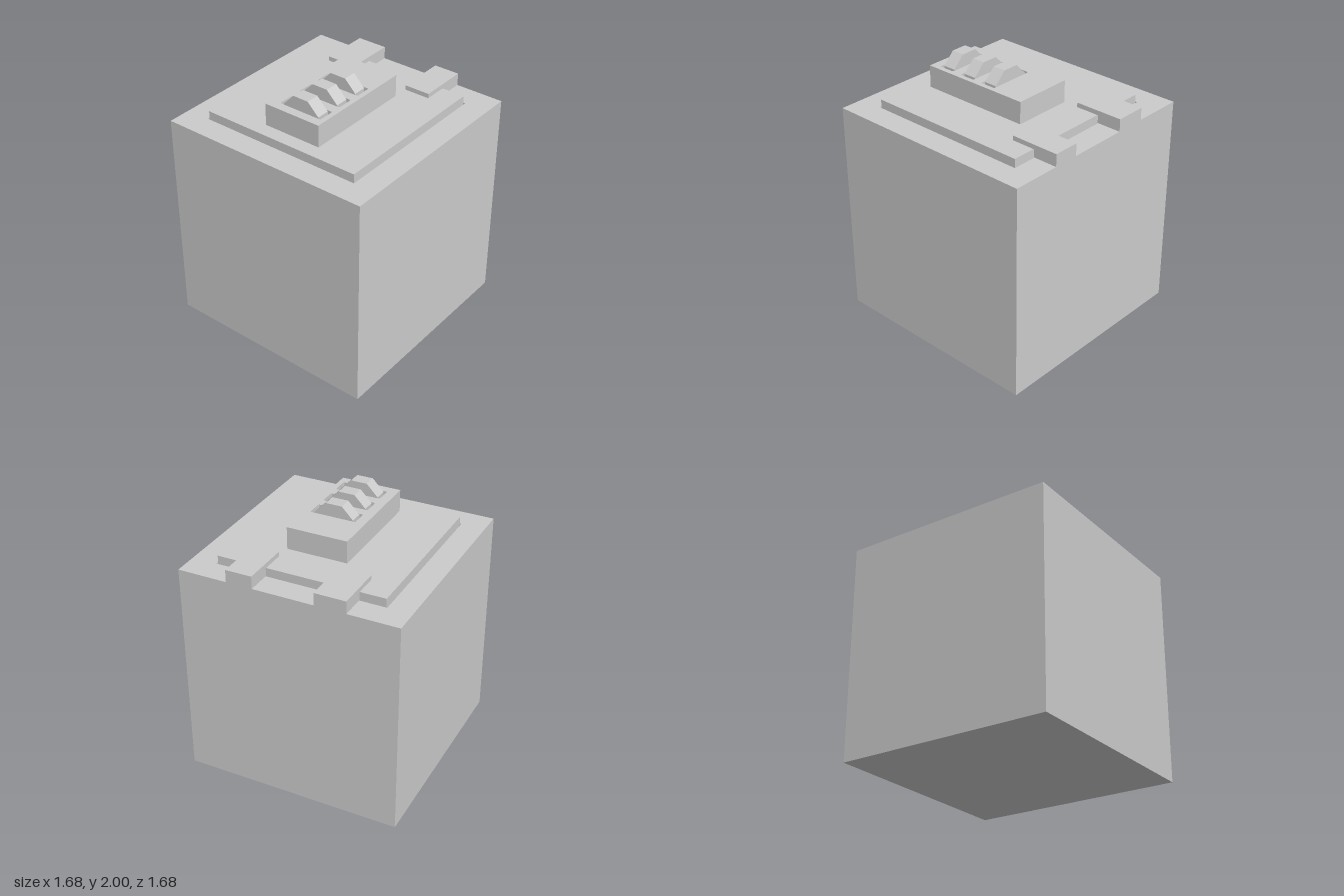
import * as THREE from 'three';

const material = new THREE.MeshStandardMaterial({ color: 0xcccccc, flatShading: true });

function addMesh(parent, name, geometry) {
  const mesh = new THREE.Mesh(geometry, material);
  mesh.name = name;
  parent.add(mesh);
  return mesh;
}

// Box given by its limits along each axis
function addBox(parent, name, [x0, x1], [y0, y1], [z0, z1]) {
  const mesh = addMesh(parent, name, new THREE.BoxGeometry(x1 - x0, y1 - y0, z1 - z0));
  mesh.position.set((x0 + x1) / 2, (y0 + y1) / 2, (z0 + z1) / 2);
  return mesh;
}

// Rectangle in plan, with small rounded corners when r > 0
function trace(path, [x0, x1], [z0, z1], r = 0) {
  const a = -z1, b = -z0; // shape y becomes -z once laid flat
  if (r === 0) {
    path.moveTo(x0, a).lineTo(x1, a).lineTo(x1, b).lineTo(x0, b).closePath();
  } else {
    path.moveTo(x0 + r, a).lineTo(x1 - r, a).quadraticCurveTo(x1, a, x1, a + r);
    path.lineTo(x1, b - r).quadraticCurveTo(x1, b, x1 - r, b);
    path.lineTo(x0 + r, b).quadraticCurveTo(x0, b, x0, b - r);
    path.lineTo(x0, a + r).quadraticCurveTo(x0, a, x0 + r, a);
  }
  return path;
}

// Flat slab with openings, standing between two heights
function addSlab(parent, name, xs, zs, [y0, y1], holes) {
  const shape = trace(new THREE.Shape(), xs, zs);
  shape.holes = holes;
  const geometry = new THREE.ExtrudeGeometry(shape, { depth: y1 - y0, bevelEnabled: false, curveSegments: 3 });
  geometry.rotateX(-Math.PI / 2);
  geometry.translate(0, y0, 0);
  return addMesh(parent, name, geometry);
}

export function createModel() {
  const model = new THREE.Group();
  model.name = 'switchBox';
  const side = [-0.838, 0.838];

  // Body, with a shallow recess that leaves a thin gap around the cover plate
  addBox(model, 'body', side, [0, 1.65], side);
  addSlab(model, 'bodyRim', side, side, [1.65, 1.68],
    [trace(new THREE.Path(), [-0.655, 0.65], [-0.655, 0.65])]);
  addBox(model, 'coverPlate', [-0.645, 0.64], [1.65, 1.74], [-0.645, 0.64]);

  // Switch block with one slot for each lever
  const blockX = [-0.535, 0.34], blockZ = [-0.21, 0.256];
  const switchX = [-0.403, -0.2, 0];
  addBox(model, 'switchBlockBase', blockX, [1.74, 1.86], blockZ);
  addSlab(model, 'switchBlockTop', blockX, blockZ, [1.86, 1.91],
    switchX.map((x) => trace(new THREE.Path(), [x - 0.063, x + 0.063], [-0.135, 0.218], 0.01)));

  // Levers: a sloped profile in z and y, extruded along x
  const profile = new THREE.Shape([
    [-0.19, 1.86], [0.112, 1.86], [0.112, 1.91], [0.025, 2], [-0.1, 2], [-0.19, 1.91],
  ].map(([z, y]) => new THREE.Vector2(z, y)));
  const lever = new THREE.ExtrudeGeometry(profile, { depth: 0.102, bevelEnabled: false });
  lever.translate(0, 0, -0.051);
  lever.rotateY(Math.PI / 2);
  switchX.forEach((x) => { addMesh(model, 'lever', lever).position.x = x; });

  // Clips: a foot on the rim and a tongue lying over the cover plate
  for (const zs of [[0.256, 0.458], [-0.45, -0.21]]) {
    const clip = new THREE.Group();
    clip.name = 'clip';
    const [z0, z1] = zs;
    const outline = new THREE.Shape([
      [0.458, 1.74], [0.645, 1.74], [0.645, 1.68], [0.838, 1.68], [0.838, 1.775], [0.458, 1.775],
    ].map(([x, y]) => new THREE.Vector2(x, y)));
    const geometry = new THREE.ExtrudeGeometry(outline, { depth: z1 - z0, bevelEnabled: false });
    geometry.translate(0, 0, z0);
    addMesh(clip, 'clipBracket', geometry);
    model.add(clip);
  }
  return model;
}
